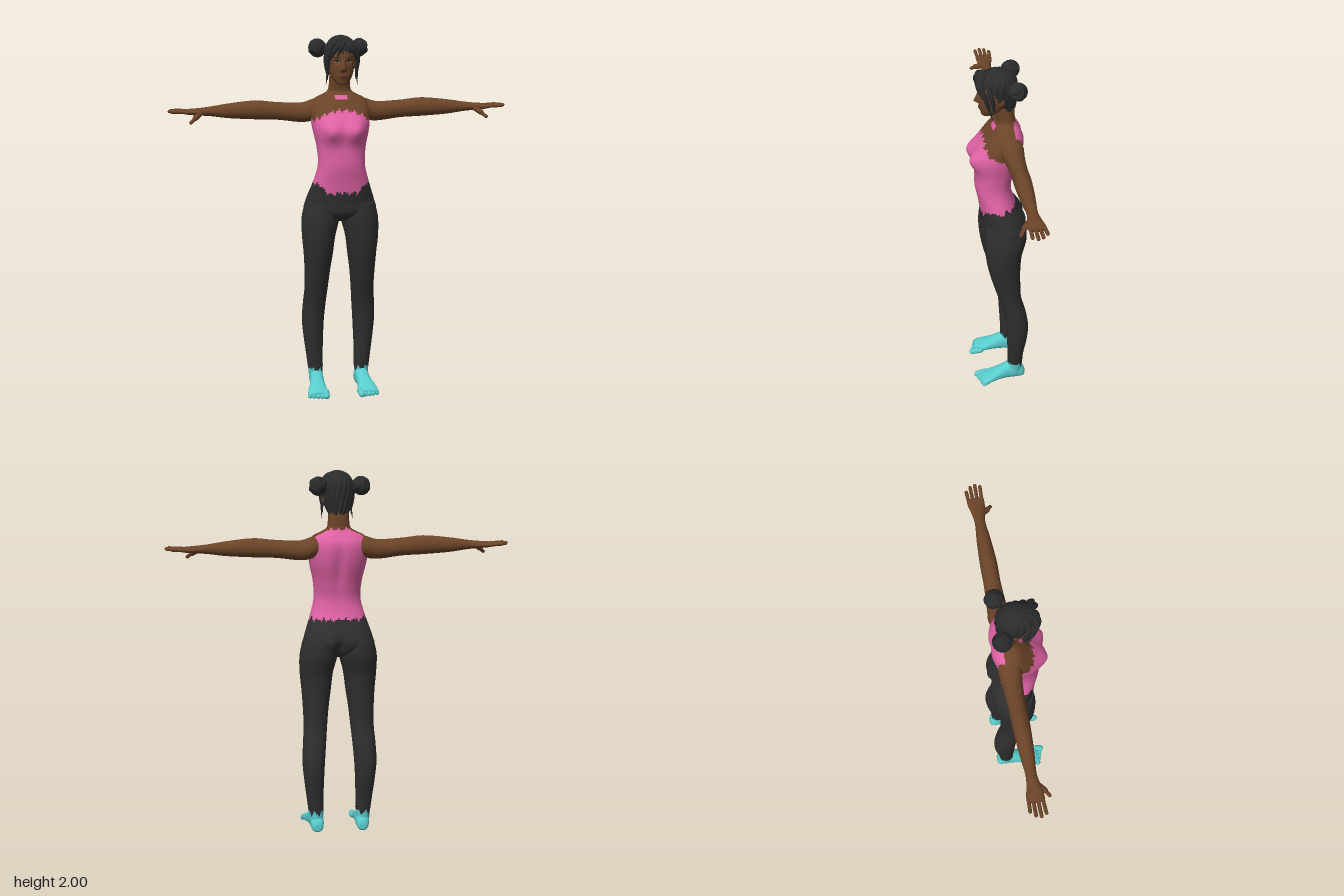
import * as THREE from 'three';

const mat = (name, color, side = THREE.FrontSide) => {
  const m = new THREE.MeshStandardMaterial({ color, side });
  m.name = name;
  return m;
};
const gauss = (d, w) => Math.exp(-((d / w) ** 2));
const V = (p) => new THREE.Vector3(...p);

// Cross-section standing across y: centre x, half width, front z, back z
const sec = (y, cx, hw, zF, zB) => [y, cx, hw, (zF + zB) / 2, (zF - zB) / 2];

// Smoothly interpolates each channel of the sections
function sample(s, u) {
  const i = Math.min(Math.floor(u), s.length - 2), f = u - i;
  const at = (k) => s[Math.max(0, Math.min(s.length - 1, k))];
  return s[0].map((_, c) => {
    const [a, b, d, e] = [at(i - 1)[c], at(i)[c], at(i + 1)[c], at(i + 2)[c]];
    return b + 0.5 * f * (d - a + f * (2 * a - 5 * b + 4 * d - e + f * (3 * (b - d) + e - a)));
  });
}

// Closed skin through sections [t, a, ra, b, rb] along an axis; paint picks a material per face (-1 drops it)
function loft(name, s, axis, mats, { n = 40, k = 6, sq = 1, warp, paint = () => 0 } = {}) {
  const rows = [], pos = [], idx = mats.map(() => []);
  for (let i = 0; i <= (s.length - 1) * k; i++) rows.push(sample(s, i / k));
  const cap = (r) => [r[0], r[1], 0, r[3], 0];
  rows.unshift(cap(rows[0]));
  rows.push(cap(rows[rows.length - 1]));
  const bend = (v) => Math.sign(v) * Math.abs(v) ** sq;
  for (const [t, a, ra, b, rb] of rows) for (let j = 0; j < n; j++) {
    const th = (j / n) * Math.PI * 2;
    const p = a + ra * bend(Math.cos(th)), q = b + rb * bend(Math.sin(th));
    const v = V(axis === 'y' ? [p, t, q] : axis === 'x' ? [t, q, p] : [q, p, t]);
    if (warp) warp(v, th);
    pos.push(v.x, v.y, v.z);
  }
  const mid = (f, c) => (pos[f[0] * 3 + c] + pos[f[1] * 3 + c] + pos[f[2] * 3 + c]) / 3;
  for (let i = 0; i < rows.length - 1; i++) for (let j = 0; j < n; j++) {
    const a = i * n + j, b = i * n + (j + 1) % n;
    for (const f of [[a, a + n, b], [b, a + n, b + n]]) {
      const m = paint(mid(f, 0), mid(f, 1), mid(f, 2));
      if (m >= 0) idx[m].push(...f);
    }
  }
  const g = new THREE.BufferGeometry();
  g.setAttribute('position', new THREE.Float32BufferAttribute(pos, 3));
  g.setIndex(idx.flat());
  let start = 0;
  idx.forEach((l, m) => { g.addGroup(start, l.length, m); start += l.length; });
  g.computeVertexNormals();
  return named(name, new THREE.Mesh(g, mats.length > 1 ? mats : mats[0]));
}

function named(name, o) { o.name = name; return o; }

// Rounded bar between two points
function bar(name, a, b, r, m) {
  const A = V(a), d = V(b).sub(A);
  const o = new THREE.Mesh(new THREE.CapsuleGeometry(r, d.length(), 6, 12), m);
  o.position.copy(A).addScaledVector(d, 0.5);
  o.quaternion.setFromUnitVectors(new THREE.Vector3(0, 1, 0), d.normalize());
  return named(name, o);
}

// Tapering strand of hair
function lock(pts, r, m) {
  const c = new THREE.CatmullRomCurve3(pts.map(V)), N = 20, R = 8;
  const g = new THREE.TubeGeometry(c, N, r, R), p = g.attributes.position, v = new THREE.Vector3();
  for (let i = 0; i < p.count; i++) {
    const u = Math.floor(i / (R + 1)) / N, o = c.getPointAt(u);
    v.fromBufferAttribute(p, i).sub(o).multiplyScalar(Math.max(0.04, Math.sin(Math.PI * (0.2 + 0.8 * u)))).add(o);
    p.setXYZ(i, v.x, v.y, v.z);
  }
  g.computeVertexNormals();
  return named('hairLock', new THREE.Mesh(g, m));
}

export function createModel() {
  const root = named('figure', new THREE.Group());
  const skin = mat('skin', 0x6b4428), pink = mat('top', 0xe062a4), black = mat('leggings', 0x2e2e2e);
  const teal = mat('socks', 0x58cccd), hair = mat('hair', 0x2a2b2d, THREE.DoubleSide);
  const white = mat('eyeWhite', 0xb8a89c), dark = mat('iris', 0x20140f), lip = mat('lips', 0x56302a);
  const jag = (x, z) => 0.007 * Math.sin(x * 150 + z * 60) + 0.004 * Math.sin(x * 310);

  // Torso and neck
  root.add(loft('torso', [
    sec(0.985, 0, 0.03, 0.02, -0.06), sec(1.0, 0, 0.11, 0.055, -0.1), sec(1.04, 0, 0.196, 0.087, -0.138),
    sec(1.1, 0, 0.188, 0.092, -0.148), sec(1.2, 0, 0.155, 0.105, -0.092), sec(1.3, 0, 0.129, 0.123, -0.07),
    sec(1.4, 0, 0.134, 0.122, -0.09), sec(1.5, 0, 0.155, 0.118, -0.122), sec(1.57, 0, 0.163, 0.095, -0.134),
    sec(1.62, 0, 0.158, 0.06, -0.132), sec(1.655, 0, 0.138, 0.03, -0.115), sec(1.68, 0, 0.09, 0.012, -0.1),
    sec(1.7, 0, 0.064, 0.003, -0.092), sec(1.74, 0, 0.057, 0.01, -0.09), sec(1.8, 0, 0.055, 0.02, -0.085),
  ], 'y', [skin, pink, black], {
    n: 96, k: 8, sq: 0.9,
    warp: (v) => {
      if (v.z > 0.02) v.z += (0.045 * gauss(Math.abs(v.x) - 0.075, 0.052) + 0.018 * gauss(v.x, 0.05)) * gauss(v.y - 1.495, 0.062);
      else if (v.z < -0.05) v.z += 0.035 * gauss(v.x, 0.025) * gauss(v.y - 1.05, 0.06) + 0.015 * gauss(v.x, 0.03) * gauss(v.y - 1.5, 0.12);
    },
    paint: (x, y, z) => {
      const j = jag(x, z);
      if (y < 1.2 - (z > 0.03 ? 0.05 * Math.min(1, Math.max(0, 2.6 - Math.abs(x) / 0.05)) : 0) + j) return 2;
      if (z < -0.075 && y < 1.695 + j && Math.abs(x) < 0.135 + j) return 1;
      if (y < 1.602 - 2.4 * x * x + j && (z > -0.02 || y < 1.545)) return 1;
      return z > -0.02 && Math.abs(x) < 0.034 && y > 1.655 && y < 1.677 ? 1 : 0;
    },
  }));

  // One side of limbs, mirrored for the other
  const makeSide = () => {
    const g = new THREE.Group();
    g.add(loft('leg', [
      sec(0.05, 0.13, 0.037, -0.04, -0.122), sec(0.12, 0.132, 0.042, -0.04, -0.124), sec(0.2, 0.137, 0.047, -0.038, -0.13),
      sec(0.3, 0.142, 0.055, -0.033, -0.147), sec(0.4, 0.144, 0.062, -0.027, -0.153), sec(0.5, 0.138, 0.064, -0.013, -0.138),
      sec(0.6, 0.13, 0.065, 0.014, -0.113), sec(0.7, 0.126, 0.071, 0.043, -0.108), sec(0.8, 0.122, 0.081, 0.068, -0.108),
      sec(0.9, 0.12, 0.092, 0.084, -0.116), sec(1.0, 0.108, 0.104, 0.089, -0.142), sec(1.09, 0.1, 0.09, 0.08, -0.138),
    ], 'y', [black, teal], { n: 48, k: 8, paint: (x, y, z) => (y < 0.112 + 1.8 * jag(x, z) ? 1 : 0) }));

    // Foot: [z, centre y, half height, centre x, half width]
    g.add(loft('foot', [
      [-0.138, 0.035, 0.018, 0.126, 0.016], [-0.125, 0.042, 0.036, 0.127, 0.032], [-0.085, 0.058, 0.055, 0.128, 0.039],
      [-0.04, 0.058, 0.053, 0.13, 0.039], [0.01, 0.046, 0.04, 0.134, 0.042], [0.06, 0.034, 0.029, 0.14, 0.051],
      [0.1, 0.024, 0.02, 0.144, 0.054], [0.118, 0.02, 0.013, 0.145, 0.044],
    ], 'z', [teal], { sq: 0.9 }));
    for (let i = 0; i < 5; i++) {
      const x = 0.1 + i * 0.022, r = i ? 0.0125 : 0.018;
      g.add(bar('toe', [x - 0.004, r + 0.008, 0.085], [x, r, 0.137 - r * 0.1 - 0.007 * i], r, teal));
    }

    // Arm: [x, centre z, half depth, centre y, half height]
    g.add(loft('arm', [
      [0.07, -0.05, 0.045, 1.615, 0.045], [0.14, -0.054, 0.06, 1.595, 0.058], [0.21, -0.056, 0.053, 1.58, 0.053],
      [0.34, -0.056, 0.045, 1.59, 0.048], [0.46, -0.055, 0.045, 1.598, 0.051], [0.6, -0.055, 0.037, 1.596, 0.04],
      [0.7, -0.055, 0.028, 1.595, 0.026], [0.76, -0.054, 0.036, 1.594, 0.02], [0.81, -0.056, 0.045, 1.594, 0.016],
      [0.845, -0.057, 0.045, 1.595, 0.011],
    ], 'x', [skin]));
    [[0.888, -0.096], [0.912, -0.071], [0.92, -0.045], [0.908, -0.019]].forEach(([x, z]) =>
      g.add(bar('finger', [0.83, 1.596, z * 0.9 - 0.006], [x, 1.6, z], 0.0095, skin)));
    g.add(bar('thumbBase', [0.755, 1.588, -0.035], [0.785, 1.567, -0.002], 0.015, skin));
    g.add(bar('thumb', [0.785, 1.567, -0.002], [0.81, 1.545, 0.018], 0.0095, skin));

    // Bun with wrapped coils
    const bun = named('bun', new THREE.Group());
    bun.position.set(0.115, 1.925, -0.085);
    bun.add(named('bunCore', new THREE.Mesh(new THREE.SphereGeometry(0.044, 24, 16), hair)));
    for (let i = 0; i < 5; i++) {
      const coil = named('bunCoil', new THREE.Mesh(new THREE.TorusGeometry(0.034, 0.0175, 10, 28), hair));
      coil.rotation.set(i * 0.7, 0.5 + i * 1.1, 0);
      bun.add(coil);
    }
    g.add(bun);

    // Ear and face-framing locks
    const ear = named('ear', new THREE.Mesh(new THREE.SphereGeometry(1, 16, 12), skin));
    ear.scale.set(0.01, 0.026, 0.016);
    ear.position.set(0.076, 1.845, -0.01);
    g.add(ear);
    g.add(lock([[0.01, 1.985, 0.06], [0.055, 1.955, 0.095], [0.08, 1.88, 0.075], [0.078, 1.81, 0.055], [0.086, 1.735, 0.035]], 0.014, hair));
    g.add(lock([[0.05, 1.965, 0.06], [0.083, 1.9, 0.05], [0.084, 1.84, 0.035], [0.075, 1.765, 0.03]], 0.014, hair));
    g.add(lock([[0.005, 1.985, 0.07], [0.035, 1.945, 0.106], [0.06, 1.905, 0.1], [0.074, 1.86, 0.08]], 0.014, hair));
    return g;
  };
  const left = named('leftSide', makeSide()), right = named('rightSide', makeSide());
  right.scale.x = -1;
  root.add(left, right);

  // Head with nose, eye sockets and lips
  const head = loft('head', [
    sec(1.737, 0, 0.018, 0.078, 0.04), sec(1.747, 0, 0.033, 0.086, 0.01), sec(1.775, 0, 0.053, 0.092, -0.03),
    sec(1.81, 0, 0.066, 0.096, -0.065), sec(1.85, 0, 0.073, 0.098, -0.083), sec(1.9, 0, 0.076, 0.1, -0.088),
    sec(1.94, 0, 0.07, 0.09, -0.08), sec(1.975, 0, 0.045, 0.055, -0.05),
  ], 'y', [skin], {
    n: 96, k: 8, sq: 0.92,
    warp: (v) => {
      if (v.z < 0.04) return;
      const d = v.y - 1.825, nose = Math.max(0, d > 0 ? 1 - d / 0.06 : 1 + d / 0.018);
      v.z += 0.028 * gauss(v.x, 0.012) * nose + 0.007 * gauss(v.x, 0.022) * gauss(v.y - 1.785, 0.011)
        - 0.008 * gauss(Math.abs(v.x) - 0.032, 0.018) * gauss(v.y - 1.863, 0.013);
    },
  });
  root.add(head);

  // Thin face details laid on the surface of the head
  const ray = new THREE.Raycaster();
  const plate = (name, x, y, rx, ry, tilt, m, lift) => {
    const g = new THREE.CircleGeometry(1, 20).scale(rx, ry, 1).rotateZ(tilt).translate(x, y, 0), p = g.attributes.position;
    for (let i = 0; i < p.count; i++) {
      ray.set(V([p.getX(i), p.getY(i), 1]), V([0, 0, -1]));
      p.setZ(i, (ray.intersectObject(head)[0]?.point.z ?? 0.08) + lift);
    }
    g.computeVertexNormals();
    root.add(named(name, new THREE.Mesh(g, m)));
  };
  for (const s of [-1, 1]) {
    plate('eyeLine', s * 0.033, 1.864, 0.0165, 0.0065, s * 0.12, dark, 0.0015);
    plate('eyeWhite', s * 0.033, 1.862, 0.0135, 0.0042, s * 0.12, white, 0.0025);
    plate('iris', s * 0.032, 1.862, 0.0045, 0.0045, 0, dark, 0.0035);
    plate('eyebrow', s * 0.036, 1.886, 0.02, 0.003, s * 0.2, hair, 0.002);
  }
  plate('lips', 0, 1.785, 0.021, 0.007, 0, lip, 0.0015);

  // Hair cap with combed ripples, cut along the hairline
  root.add(loft('hairCap', [
    sec(1.765, 0, 0.055, 0.03, -0.09), sec(1.8, 0, 0.07, 0.07, -0.097), sec(1.85, 0, 0.083, 0.098, -0.101),
    sec(1.9, 0, 0.086, 0.107, -0.103), sec(1.94, 0, 0.081, 0.102, -0.098), sec(1.975, 0, 0.06, 0.075, -0.073),
    sec(1.993, 0, 0.033, 0.042, -0.04), sec(2.0, 0, 0.006, 0.01, -0.006),
  ], 'y', [hair], {
    n: 120, k: 6,
    warp: (v, th) => {
      const r = 1 + 0.025 * Math.sin(th * 18 + v.y * 45);
      v.x *= r;
      v.z *= r;
    },
    paint: (x, y, z) => (y > 1.775 + 0.14 * THREE.MathUtils.smoothstep(z, -0.06, 0.07) + jag(x, z) ? 0 : -1),
  }));
  root.add(lock([[0.005, 1.99, 0.05], [-0.008, 1.95, 0.104], [-0.025, 1.915, 0.108], [-0.035, 1.88, 0.106]], 0.013, hair));
  return root;
}
